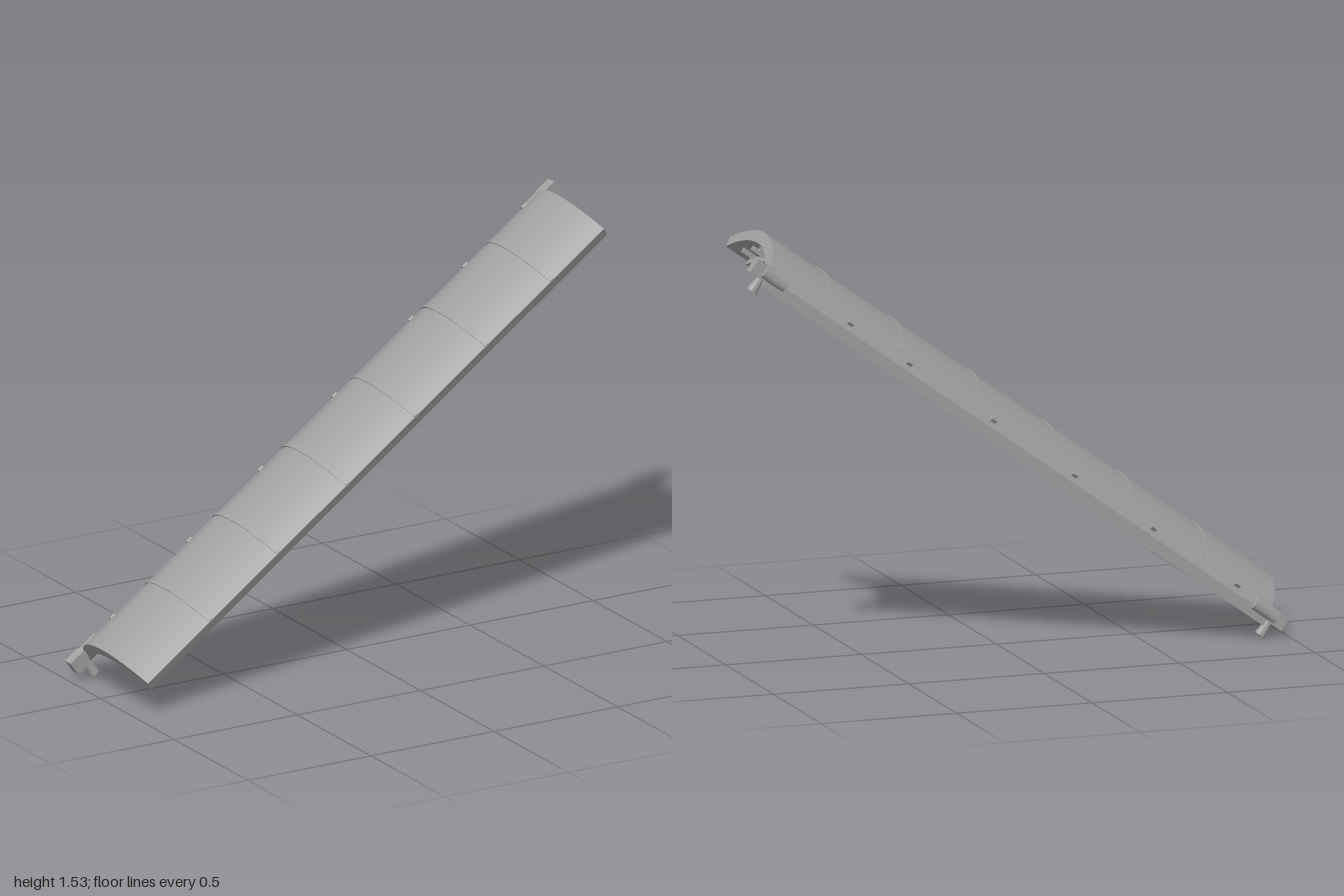
import * as THREE from 'three';
import { toCreasedNormals } from 'three/addons/utils/BufferGeometryUtils.js';

const metal = new THREE.MeshStandardMaterial({ color: 0xa0a0a0 });
metal.name = 'grey metal';

// Panel frame: x runs along the slope, y is the panel normal, z is across.
const START = -0.706, END = 1.581, MID = (START + END) / 2;
const SLOPE = THREE.MathUtils.degToRad(36);

// Cross-section curves as [z, y]
const OUTER = [[0.25, 0.655], [0.19, 0.688], [0.1, 0.72], [0.01, 0.73], [-0.08, 0.717], [-0.15, 0.685], [-0.195, 0.65]];
const INNER = [[0.235, 0.618], [0.18, 0.65], [0.1, 0.677], [0.01, 0.686], [-0.07, 0.674], [-0.13, 0.645], [-0.165, 0.618]];

const smooth = (pts, n = 28) =>
  new THREE.SplineCurve(pts.map(([z, y]) => new THREE.Vector2(z, y))).getPoints(n);
const shift = (pts, d) => pts.map((p) => new THREE.Vector2(p.x, p.y + d));

// Extrudes a closed (z, y) outline along the slope
function extrudeAlong(outline, from, length) {
  const shape = new THREE.Shape(outline.map((p) => new THREE.Vector2(-p.x, p.y)));
  const geo = new THREE.ExtrudeGeometry(shape, { depth: length, bevelEnabled: false });
  geo.rotateY(Math.PI / 2).translate(from, 0, 0);
  return toCreasedNormals(geo, 0.35);
}

export function createModel() {
  const model = new THREE.Group();
  model.name = 'slopedCurvedPanel';
  const panel = new THREE.Group();
  panel.name = 'panel';
  panel.rotation.z = SLOPE;
  model.add(panel);

  const add = (name, geo, parent = panel) => {
    const mesh = new THREE.Mesh(geo, metal);
    mesh.name = name;
    parent.add(mesh);
    return mesh;
  };

  const outer = smooth(OUTER), inner = smooth(INNER);

  // Curved shell with a straight flange along the back
  const flange = [new THREE.Vector2(-0.235, 0.605), new THREE.Vector2(-0.235, 0.563)];
  add('shell', extrudeAlong([...outer, ...flange, ...[...inner].reverse()], START, END - START));

  // Raised seam straps across the outside
  const strap = extrudeAlong([...shift(outer, 0.004), ...shift(outer, -0.004).reverse()], -0.007, 0.014);
  [-0.39, -0.05, 0.295, 0.64, 0.994, 1.32].forEach((u) => {
    add('seamStrap', strap).position.x = u;
  });

  // Curved ribs across the inside
  const ribLine = inner.filter((p) => p.x < 0.212 && p.x > -0.167);
  const rib = extrudeAlong([...shift(ribLine, -0.012), ...shift(ribLine, -0.034).reverse()], -0.007, 0.014);
  for (let i = 0; i < 17; i++) add('rib', rib).position.x = MID + (i - 8) * 0.1312;

  // Long bars between the ribs and the shell
  [0.17, 0.11, 0.05, -0.01, -0.07, -0.135].forEach((z) => {
    const y = inner.reduce((a, b) => (Math.abs(b.x - z) < Math.abs(a.x - z) ? b : a)).y;
    add('longBar', new THREE.BoxGeometry(2.22, 0.018, 0.011)).position.set(MID, y - 0.012, z);
  });

  // Small clips on the flange
  [-0.546, -0.163, 0.196, 0.566, 0.95, 1.22, 1.518].forEach((u) => {
    const clip = add('clip', new THREE.BoxGeometry(0.022, 0.024, 0.02));
    clip.position.set(u, 0.632, -0.215);
    clip.rotation.x = -0.8;
  });

  // Hinge at each end of the flange: barrel, end block and flared peg
  for (const side of [-1, 1]) {
    const hinge = new THREE.Group();
    hinge.name = side < 0 ? 'lowerHinge' : 'upperHinge';
    hinge.position.set(MID + side * 1.16, 0.61, -0.22);
    panel.add(hinge);
    const barrel = add('barrel', toCreasedNormals(new THREE.CylinderGeometry(0.026, 0.026, 0.1, 20).rotateZ(Math.PI / 2), 0.6), hinge);
    barrel.position.set(-side * 0.04, 0.002, -0.004);
    add('endBlock', new THREE.BoxGeometry(0.065, 0.056, 0.038), hinge).position.set(side * 0.02, 0, 0.003);
    add('peg', toCreasedNormals(new THREE.CylinderGeometry(0.012, 0.02, 0.06, 16), 0.6), hinge).position.set(0, -0.05, 0.003);
  }
  return model;
}
